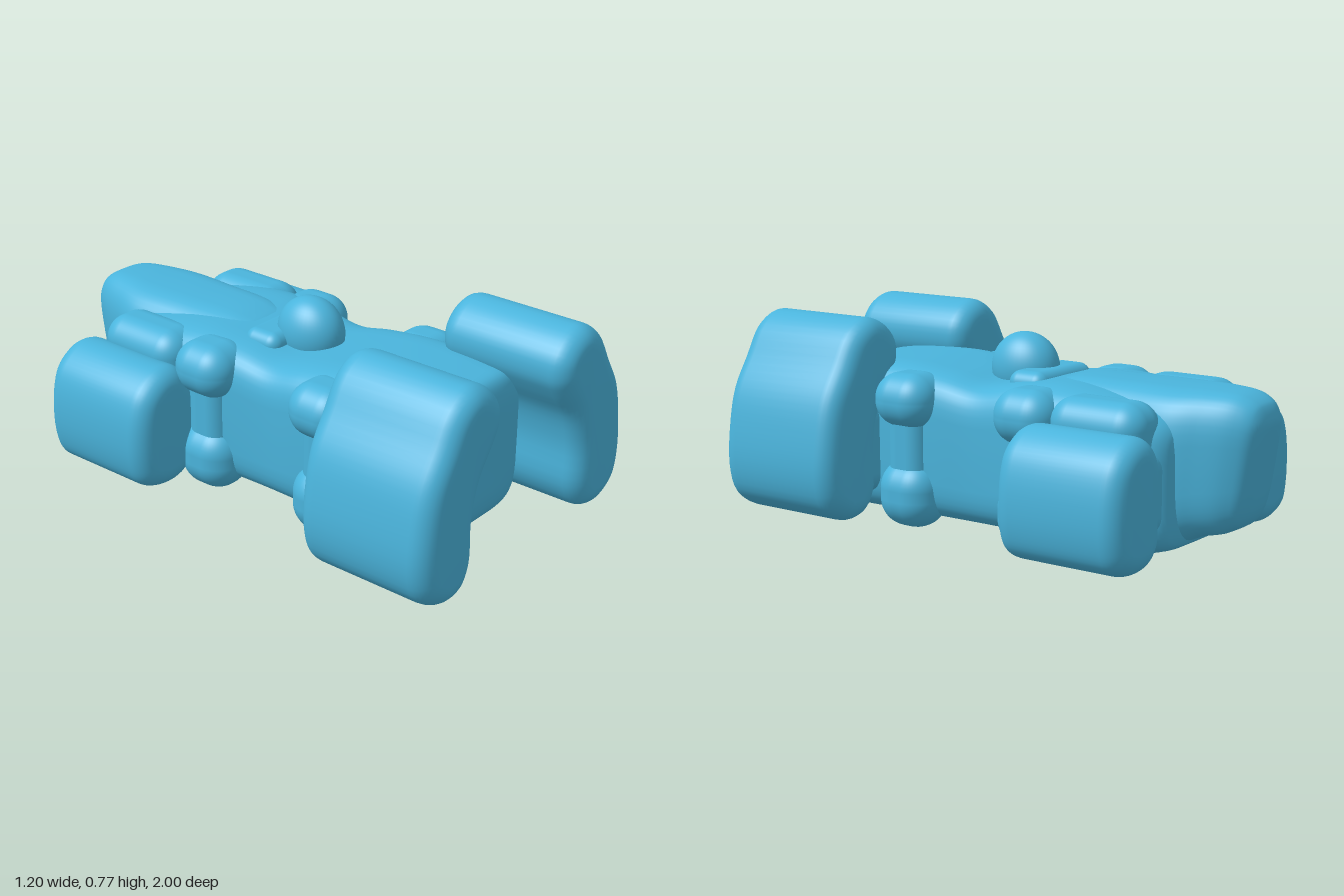
import * as THREE from 'three';
import { toCreasedNormals } from 'three/addons/utils/BufferGeometryUtils.js';
import { RoundedBoxGeometry } from 'three/addons/geometries/RoundedBoxGeometry.js';

const blue = new THREE.MeshStandardMaterial({ color: 0x4ab4dc });
blue.name = 'sky blue';

// Rounded-rectangle loft along -z; each section is [z, halfWidth, bottom, top].
function loft(sections, { sides = 48, steps = 72, power = 5, rearSlant = () => 0 } = {}) {
  const widths = new THREE.CatmullRomCurve3(sections.map(([z, w]) => new THREE.Vector3(z, w, 0)));
  const heights = new THREE.CatmullRomCurve3(sections.map(([z, , b, t]) => new THREE.Vector3(z, b, t)));
  const bend = (v) => Math.sign(v) * Math.pow(Math.abs(v), 2 / power);
  const positions = [], indices = [];
  for (let i = 0; i <= steps; i++) {
    const p = widths.getPoint(i / steps), h = heights.getPoint(i / steps);
    for (let j = 0; j < sides; j++) {
      const a = (j / sides) * Math.PI * 2;
      const y = (h.y + h.z) / 2 + bend(Math.sin(a)) * (h.z - h.y) / 2;
      positions.push(bend(Math.cos(a)) * p.y, y, p.x + rearSlant(p.x, y));
      if (i < steps) {
        const k = (j + 1) % sides, r = i * sides, n = r + sides;
        indices.push(r + j, n + j, r + k, r + k, n + j, n + k);
      }
    }
  }
  const geo = new THREE.BufferGeometry();
  geo.setAttribute('position', new THREE.Float32BufferAttribute(positions, 3));
  geo.setIndex(indices);
  geo.computeVertexNormals();
  return geo;
}

// Soft outline in x-y, extruded from z0 to z1 with rounded rims.
function softSlab(points, side, z0, z1, bevel) {
  const curve = new THREE.CatmullRomCurve3(
    points.map(([x, y]) => new THREE.Vector3(x * side, y, 0)), true);
  const shape = new THREE.Shape(curve.getPoints(64).slice(0, -1).map((p) => new THREE.Vector2(p.x, p.y)));
  const geo = new THREE.ExtrudeGeometry(shape, {
    depth: z1 - z0 - 2 * bevel, bevelEnabled: true, bevelSize: bevel,
    bevelThickness: bevel, bevelOffset: -bevel, bevelSegments: 7, steps: 1,
  });
  geo.translate(0, 0, z0 + bevel);
  return toCreasedNormals(geo, 0.8);
}

export function createModel() {
  const model = new THREE.Group();
  model.name = 'vehicle';

  const add = (name, geo, x = 0, y = 0, z = 0) => {
    const mesh = new THREE.Mesh(geo, blue);
    mesh.name = name;
    mesh.position.set(x, y, z);
    model.add(mesh);
    return mesh;
  };
  const softBox = (name, w, h, d, r, x, y, z) => add(name, new RoundedBoxGeometry(w, h, d, 6, r), x, y, z);

  // Main body, dipping in the middle
  add('body', loft([
    [0.77, 0, 0.3, 0.3], [0.77, 0.22, 0.1, 0.52], [0.74, 0.28, 0.05, 0.575], [0.66, 0.305, 0.03, 0.59],
    [0.4, 0.315, 0.03, 0.6], [0.2, 0.315, 0.03, 0.58], [0.05, 0.31, 0.03, 0.555],
    [-0.1, 0.315, 0.03, 0.575], [-0.3, 0.33, 0.03, 0.59], [-0.55, 0.33, 0.03, 0.56],
    [-0.68, 0.3, 0.04, 0.53], [-0.74, 0.24, 0.07, 0.48], [-0.75, 0, 0.28, 0.28],
  ]));

  // Tapered tail with a rear face leaning forward at the bottom
  add('tail', loft([
    [-0.15, 0, 0.3, 0.3], [-0.16, 0.15, 0.12, 0.56], [-0.25, 0.19, 0.06, 0.597], [-0.5, 0.21, 0.04, 0.605],
    [-0.7, 0.22, 0.05, 0.605], [-0.82, 0.185, 0.09, 0.605], [-0.92, 0.15, 0.11, 0.595],
    [-0.975, 0.115, 0.14, 0.565], [-0.998, 0.07, 0.2, 0.51], [-1.0, 0, 0.4, 0.4],
  ], {
    power: 3.6,
    rearSlant: (z, y) => Math.max(0, Math.min(1, (-z - 0.65) / 0.3)) * Math.max(0, 0.5 - y) * 0.16,
  }));

  // Dome and its low collar
  const dome = add('dome', new THREE.SphereGeometry(1, 40, 28), 0, 0.59, 0.02);
  dome.scale.set(0.105, 0.132, 0.135);
  softBox('domeCollar', 0.34, 0.1, 0.16, 0.045, 0, 0.555, -0.09);

  const armOutline = [
    [0.175, 0.6], [0.18, 0.68], [0.24, 0.745], [0.33, 0.768], [0.42, 0.72], [0.49, 0.61], [0.555, 0.5],
    [0.587, 0.38], [0.6, 0.2], [0.565, 0.09], [0.46, 0.03], [0.365, 0.05], [0.312, 0.14],
    [0.308, 0.3], [0.275, 0.43], [0.21, 0.53],
  ];
  const wheelOutline = [
    [0.3, 0.22], [0.31, 0.41], [0.37, 0.48], [0.46, 0.488], [0.55, 0.43], [0.588, 0.34],
    [0.593, 0.16], [0.56, 0.07], [0.47, 0.03], [0.37, 0.04], [0.31, 0.1],
  ];

  for (const [side, label] of [[1, 'left'], [-1, 'right']]) {
    // Front bent slab and its joint to the body
    add(label + 'FrontArm', softSlab(armOutline, side, 0.455, 1.0, 0.075));
    softBox(label + 'FrontJoint', 0.2, 0.36, 0.26, 0.08, side * 0.31, 0.29, 0.59);

    // Rear wheel block, hub and fender
    add(label + 'RearWheel', softSlab(wheelOutline, side, -0.775, -0.265, 0.075));
    softBox(label + 'RearHub', 0.26, 0.34, 0.42, 0.09, side * 0.27, 0.27, -0.52);
    softBox(label + 'RearFender', 0.22, 0.46, 0.38, 0.09, side * 0.275, 0.345, -0.51);

    // Upper and lower corner swellings at both ends of the waist
    for (const [end, z] of [['Front', 0.33], ['Rear', -0.21]]) {
      softBox(label + end + 'UpperKnob', 0.24, 0.2, 0.25, 0.095, side * 0.28, 0.48, z);
      softBox(label + end + 'LowerKnob', 0.22, 0.25, 0.25, 0.105, side * 0.275, 0.128, z);
      softBox(label + end + 'Pillar', 0.14, 0.46, 0.17, 0.065, side * 0.28, 0.3, z);
    }
  }
  return model;
}
